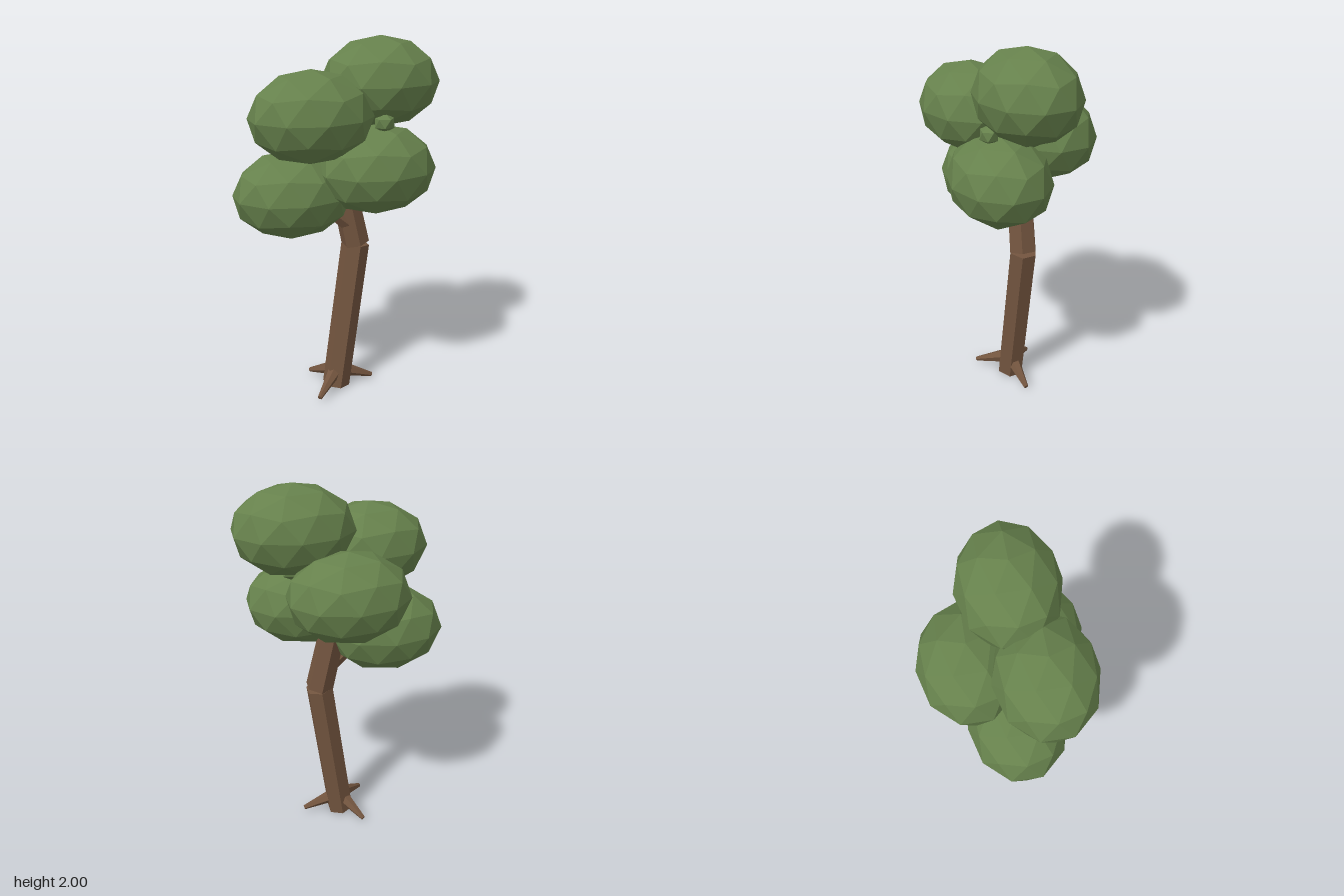
import * as THREE from 'three';

const bark = new THREE.MeshStandardMaterial({ color: 0x73553f });
bark.name = 'bark brown';
const leaf = new THREE.MeshStandardMaterial({ color: 0x66814c });
leaf.name = 'leaf green';

// Faceted normals: every triangle keeps its own
function faceted(geometry) {
  const g = geometry.index ? geometry.toNonIndexed() : geometry;
  g.computeVertexNormals();
  return g;
}

// Six-sided limb running between two points
function limb(name, from, to, r0, r1) {
  const a = new THREE.Vector3(...from);
  const b = new THREE.Vector3(...to);
  const dir = b.clone().sub(a);
  const mesh = new THREE.Mesh(faceted(new THREE.CylinderGeometry(r1, r0, dir.length(), 6)), bark);
  mesh.position.copy(a).add(b).multiplyScalar(0.5);
  mesh.quaternion.setFromUnitVectors(new THREE.Vector3(0, 1, 0), dir.normalize());
  mesh.name = name;
  return mesh;
}

// Icosphere with a corner at each pole, stretched to an ellipsoid
function clump(name, center, radii, detail) {
  const g = new THREE.IcosahedronGeometry(1, detail);
  g.rotateZ(-Math.atan(2 / (1 + Math.sqrt(5))));
  g.scale(...radii);
  const mesh = new THREE.Mesh(faceted(g), leaf);
  mesh.position.set(...center);
  mesh.name = name;
  return mesh;
}

export function createModel() {
  const tree = new THREE.Group();
  tree.name = 'tree';

  // Trunk with a kink, and a side branch
  tree.add(limb('lowerTrunk', [0.005, 0.01, 0.028], [0.125, 0.87, 0.01], 0.078, 0.078));
  tree.add(limb('upperTrunk', [0.125, 0.873, 0.012], [0.02, 1.37, -0.01], 0.078, 0.07));
  tree.add(limb('sideBranch', [0.1, 0.97, 0.02], [-0.13, 1.17, 0.03], 0.045, 0.035));

  // Roots spreading from the foot
  const rootTips = [[0.225, 0.024, 0.04], [-0.15, 0.027, 0.178], [-0.1, 0.024, -0.138]];
  for (const tip of rootTips) tree.add(limb('root', [0.01, 0.11, 0.03], tip, 0.045, 0.013));

  // Large leaf clumps
  const clumps = [
    [0.235, 1.765, 0.055],
    [-0.18, 1.625, 0.165],
    [0.17, 1.335, 0.175],
    [-0.24, 1.2, 0.03],
    [0.005, 1.475, -0.178],
  ];
  for (const c of clumps) tree.add(clump('leafClump', c, [0.322, 0.235, 0.257], 1));

  // Small tufts between the clumps
  for (const c of [[0.185, 1.585, 0.235], [0.26, 1.56, 0.03]]) {
    tree.add(clump('leafTuft', c, [0.058, 0.05, 0.05], 0));
  }
  return tree;
}
